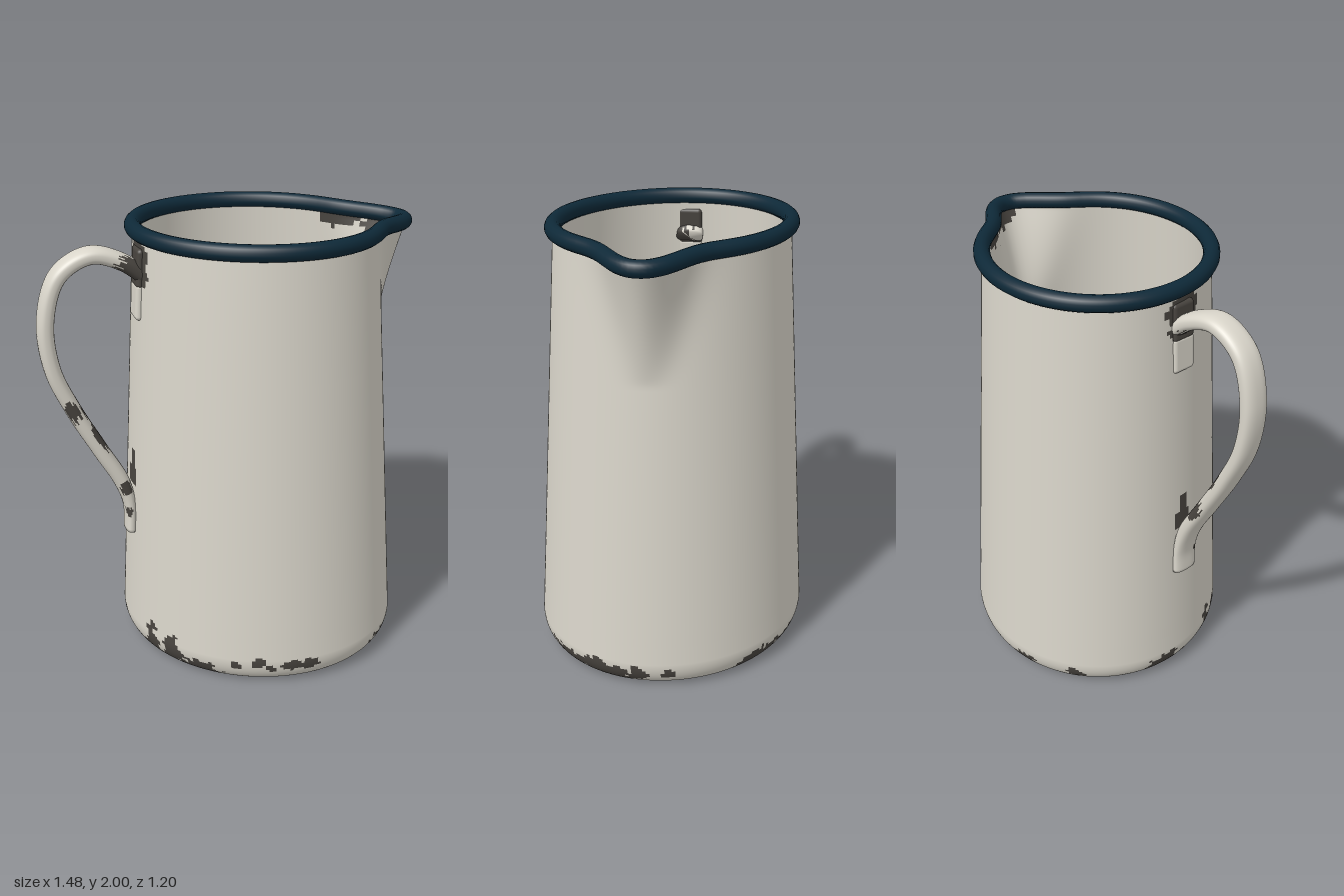
import * as THREE from 'three';
import { RoundedBoxGeometry } from 'three/addons/geometries/RoundedBoxGeometry.js';

const RAD = Math.PI / 180;
const mat = (name, color) => Object.assign(new THREE.MeshStandardMaterial({ color }), { name });

// Chipped enamel: blobs are [angle, along, angle half-width, along half-height] with a ragged edge
function chipTest(blobs) {
  return (deg, v, f) => {
    const n = 0.3 * Math.sin(deg * 0.41 + v * 60 * f) + 0.25 * Math.sin(deg * 0.93 - v * 95 * f)
      + 0.15 * Math.sin(deg * 1.9 + v * 30 * f);
    return blobs.some(([a, v0, da, dv]) => {
      const d = ((deg - a + 540) % 360 + 360) % 360 - 180;
      return (d / da) ** 2 + ((v - v0) / dv) ** 2 + n < 1;
    });
  };
}

// Closed-around grid of rows; faces where chipped(row, degrees) holds go to the second material
function ringGrid(rows, cols, point, chipped) {
  const pos = [], plain = [], chips = [];
  rows.forEach((row) => {
    for (let j = 0; j < cols; j++) pos.push(...point(row, (j / cols) * Math.PI * 2));
  });
  for (let i = 0; i < rows.length - 1; i++) {
    for (let j = 0; j < cols; j++) {
      const k = (j + 1) % cols;
      const a = i * cols + j, b = a + cols, c = i * cols + k, d = c + cols;
      const list = chipped(rows[i], ((j + 0.5) / cols) * 360) ? chips : plain;
      list.push(a, b, c, b, d, c);
    }
  }
  const g = new THREE.BufferGeometry();
  g.setAttribute('position', new THREE.Float32BufferAttribute(pos, 3));
  g.setIndex([...plain, ...chips]);
  g.addGroup(0, plain.length, 0);
  g.addGroup(plain.length, chips.length, 1);
  g.computeVertexNormals();
  return g;
}

// Bump of the pouring spout at an angle and height
const SPOUT = -33 * RAD;
function spoutBump(th, y) {
  const t = THREE.MathUtils.clamp((y - 1.42) / 0.51, 0, 1);
  const d = Math.atan2(Math.sin(th - SPOUT), Math.cos(th - SPOUT));
  return t ** 1.25 * Math.exp(-0.5 * (d / ((5 + 6 * t) * RAD)) ** 2);
}

// Tapered oval wall; k scales the radius, inset gives the wall thickness
function wallPoint(th, y, k = 1, inset = 0) {
  const t = Math.max(0, (y - 0.12) / 1.83);
  const rx = THREE.MathUtils.lerp(0.655, 0.535, t);
  const rz = THREE.MathUtils.lerp(0.6, 0.487, t);
  const c = Math.cos(th), s = Math.sin(th);
  const r = (1 / Math.hypot(c / rx, s / rz) + 0.165 * spoutBump(th, y) - inset) * k;
  return [THREE.MathUtils.lerp(0.093, 0.08, t) + r * c, y, r * s];
}

const span = (from, to, n) => Array.from({ length: n }, (_, i) => from + ((to - from) * i) / n);

export function createModel() {
  const enamel = mat('cream enamel', 0xd9d5ca);
  const chip = mat('chipped dark metal', 0x48443f);
  const navy = mat('navy rim enamel', 0x0e2938);
  const model = new THREE.Group();
  const add = (parent, name, geometry, material) => {
    const m = new THREE.Mesh(geometry, material);
    m.name = name;
    parent.add(m);
    return m;
  };

  // Outer body: flat underside, rounded foot, tapered wall
  const outerRows = [
    ...span(0, 0.86, 36).map((k) => ({ k, y: 0 })),
    ...span(0, 90, 14).map((a) => ({ k: 0.86 + 0.14 * Math.sin(a * RAD), y: 0.12 * (1 - Math.cos(a * RAD)) })),
    ...[...span(0.12, 0.22, 12), ...span(0.22, 1.4, 14), ...span(1.4, 1.955, 32), 1.955].map((y) => ({ k: 1, y })),
  ];
  const bodyChips = chipTest([
    [156, 0.02, 8, 0.09], [135, -0.03, 20, 0.07], [125, 0.05, 4, 0.12], [113, 0.04, 5, 0.12],
    [100, 0.0, 10, 0.08], [140, -0.1, 14, 0.1],
    [82, 0.09, 3, 0.025], [72, 0.11, 3, 0.03], [67, 0.08, 3, 0.02], [57, 0.09, 5, 0.03], [50, 0.09, 4, 0.035],
    [5, 0.01, 12, 0.08], [-14, 0.02, 14, 0.09], [-30, 0.06, 4, 0.05], [-4, -0.12, 20, 0.13],
    [-42, 0.06, 3, 0.03], [-88, 0.0, 14, 0.08], [-110, 0.0, 14, 0.07], [-140, 0.02, 7, 0.06], [-165, 0.05, 4, 0.04],
    [144, 1.83, 10, 0.12], [146, 0.85, 5, 0.06],
  ]);
  add(model, 'body', ringGrid(outerRows, 240, (r, th) => wallPoint(th, r.y, r.k),
    (r, deg) => bodyChips(deg, r.y - (1 - r.k) * 0.65, 1)), [enamel, chip]);

  // Inside wall and floor
  const innerRows = [
    ...span(1.955, 1.4, 24).map((y) => ({ k: 1, y })),
    ...span(1.4, 0.1, 8).map((y) => ({ k: 1, y })),
    { k: 1, y: 0.1 }, { k: 0.97, y: 0.06 }, { k: 0.9, y: 0.04 }, { k: 0.5, y: 0.035 }, { k: 0, y: 0.035 },
  ];
  const insideChips = chipTest([[-58, 1.92, 12, 0.03], [-38, 1.91, 8, 0.04]]);
  add(model, 'inside', ringGrid(innerRows, 160, (r, th) => wallPoint(th, r.y, r.k, 0.018),
    (r, deg) => insideChips(deg, r.y, 1)), [enamel, chip]);

  // Rolled rim that follows the mouth and dips at the spout
  const rimPoints = span(0, Math.PI * 2, 72).map((th) => {
    const [x, , z] = wallPoint(th, 1.955, 1, 0.002);
    return new THREE.Vector3(x, 1.964 - 0.018 * spoutBump(th, 1.955), z);
  });
  const rimCurve = new THREE.CatmullRomCurve3(rimPoints, true);
  add(model, 'rim', new THREE.TubeGeometry(rimCurve, 180, 0.036, 14, true), navy);

  // Strap handle opposite the spout, built in a frame whose +z points away from the body
  const handle = new THREE.Group();
  handle.name = 'handle';
  handle.position.x = 0.085;
  handle.rotation.y = Math.atan2(-0.82, 0.57);
  model.add(handle);
  const path = new THREE.CatmullRomCurve3([
    [0.49, 1.77], [0.6, 1.85], [0.73, 1.885], [0.865, 1.81], [0.93, 1.62], [0.915, 1.4],
    [0.835, 1.2], [0.73, 1.0], [0.635, 0.82], [0.608, 0.7], [0.61, 0.575],
  ].map(([s, y]) => new THREE.Vector3(0, y, s)));
  const side = new THREE.Vector3(1, 0, 0);
  const bend = (v) => Math.sign(v) * Math.abs(v) ** 0.8;
  const strapPoint = (u, phi) => {
    const p = path.getPointAt(u);
    const n = new THREE.Vector3().crossVectors(side, path.getTangentAt(u));
    const cap = u === 0 || u === 1 ? 0 : 1;
    const flat = THREE.MathUtils.smoothstep(u, 0.84, 0.96);
    p.addScaledVector(side, cap * 0.062 * bend(Math.cos(phi)));
    p.addScaledVector(n, cap * (0.036 - 0.012 * flat) * bend(Math.sin(phi)));
    return p.toArray();
  };
  const strapChips = chipTest([
    [20, 0.03, 110, 0.06], [100, 0.27, 40, 0.06], [-10, 0.6, 45, 0.03], [60, 0.7, 45, 0.04],
    [110, 0.62, 50, 0.05], [150, 0.75, 50, 0.04], [10, 0.86, 50, 0.02], [-30, 0.93, 35, 0.015],
  ]);
  add(handle, 'handleStrap', ringGrid([0, 0.002, ...span(0.01, 0.995, 130), 0.995, 1], 40, strapPoint,
    (u, deg) => strapChips(deg, u, 1)), [enamel, chip]);

  // Mounting tab under the upper joint, its top worn to metal
  [['upperTab', 1.675, 0.16, enamel], ['wornUpperTab', 1.82, 0.17, chip]].forEach(([name, y, h, m]) => {
    const tab = add(handle, name, new RoundedBoxGeometry(0.115, h, 0.04, 3, 0.018), m);
    tab.position.set(0, y, 0.527 - (y - 1.75) * 0.065);
    tab.rotation.x = -0.065;
  });

  return model;
}
